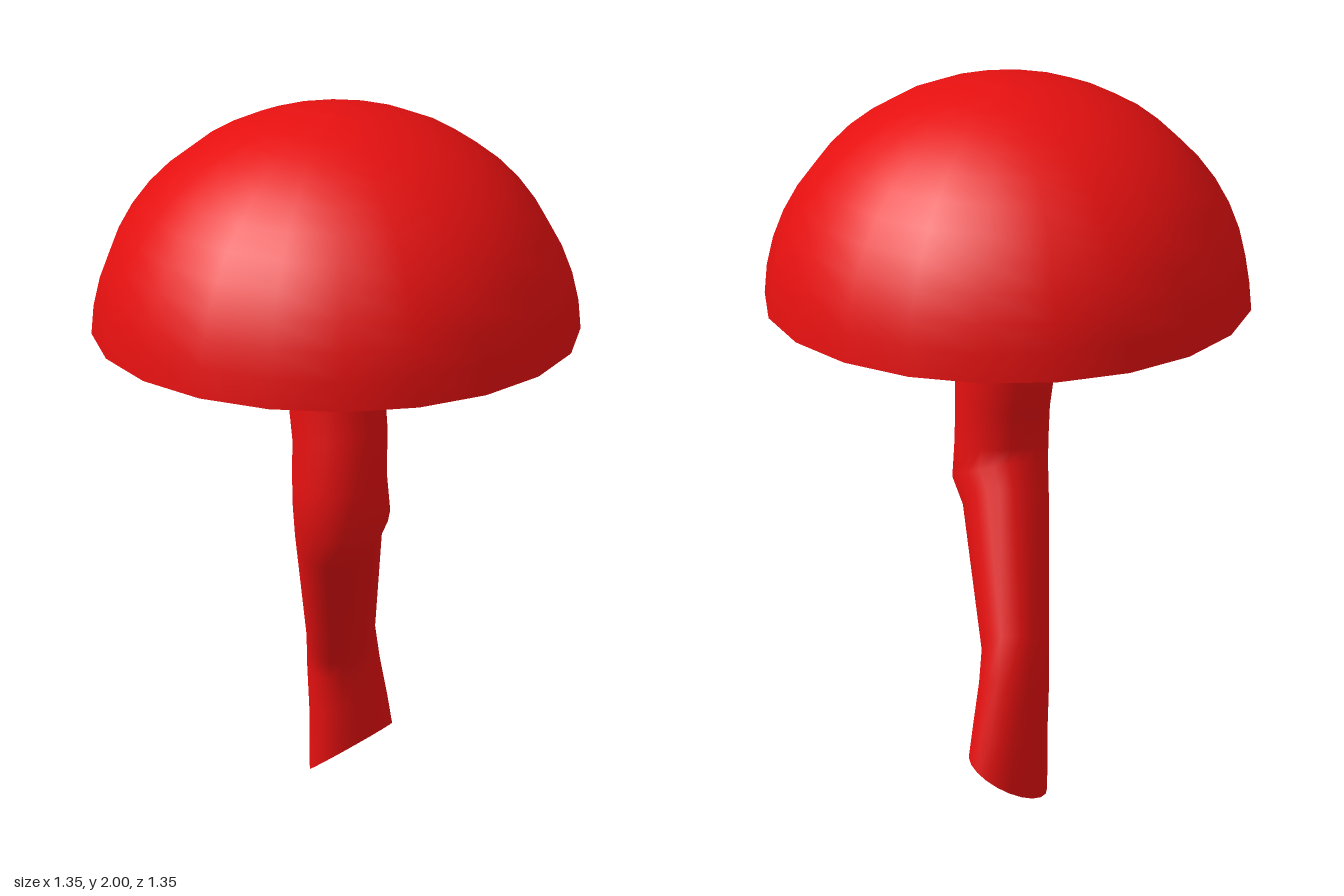
import * as THREE from 'three';

const SIDES = 20;
const CAP_BASE = 1.365, CAP_RADIUS = 0.675, CAP_HEIGHT = 0.635;

// Stem rings from top to bottom: centre x, y, z, radii in x and z, tilt (rise per x and per z)
const RINGS = [
  [0, 1.4, 0, 0.135, 0.135, 0, 0],
  [-0.004, 1.24, 0, 0.134, 0.132, 0, 0.35],
  [-0.01, 1.08, 0.03, 0.13, 0.133, 0.05, 0.2],
  [-0.02, 0.95, 0.042, 0.133, 0.128, 0.05, -0.05],
  [-0.012, 0.86, 0.04, 0.137, 0.13, 0.2, -0.4],
  [0.012, 0.78, -0.003, 0.123, 0.117, 0.45, -0.45],
  [0.13, 0.42, -0.145, 0.096, 0.092, 0.5, -0.5],
  [0.147, 0.33, -0.156, 0.105, 0.091, 0.2, -0.2],
  [0.168, 0.2, -0.16, 0.118, 0.09, 0, 0.2],
  [0.177, 0.068, -0.16, 0.127, 0.09, 0.27, 0.6],
];

function ringPoints([cx, cy, cz, rx, rz, tiltX, tiltZ]) {
  const points = [];
  for (let i = 0; i < SIDES; i++) {
    const a = (i / SIDES) * Math.PI * 2;
    const dx = Math.sin(a) * rx, dz = Math.cos(a) * rz;
    points.push(cx + dx, cy + dx * tiltX + dz * tiltZ, cz + dz);
  }
  return points;
}

function buildGeometry(positions, indices) {
  const geometry = new THREE.BufferGeometry();
  geometry.setAttribute('position', new THREE.Float32BufferAttribute(positions, 3));
  geometry.setIndex(indices);
  geometry.computeVertexNormals();
  return geometry;
}

// Smooth skin joining each ring to the next
function stemGeometry() {
  const indices = [];
  for (let r = 0; r < RINGS.length - 1; r++) {
    for (let i = 0; i < SIDES; i++) {
      const j = (i + 1) % SIDES;
      const a = r * SIDES + i, b = r * SIDES + j;
      indices.push(a, a + SIDES, b, b, a + SIDES, b + SIDES);
    }
  }
  return buildGeometry(RINGS.flatMap(ringPoints), indices);
}

// Flat slanted cut closing the foot of the stem
function footGeometry() {
  const ring = RINGS[RINGS.length - 1];
  const indices = [];
  for (let i = 0; i < SIDES; i++) indices.push(SIDES, (i + 1) % SIDES, i);
  return buildGeometry([...ringPoints(ring), ...ring.slice(0, 3)], indices);
}

export function createModel() {
  const model = new THREE.Group();
  model.name = 'mushroom';
  const red = new THREE.MeshStandardMaterial({ color: 0xe61010 });

  function add(name, geometry, parent) {
    const mesh = new THREE.Mesh(geometry, red);
    mesh.name = name;
    parent.add(mesh);
    return mesh;
  }

  // Domed cap with a flat underside
  const cap = new THREE.Group();
  cap.name = 'cap';
  cap.position.y = CAP_BASE;
  model.add(cap);
  const profile = [];
  for (let i = 0; i <= 12; i++) {
    const a = (i / 12) * Math.PI / 2;
    profile.push(new THREE.Vector2(i === 12 ? 0 : CAP_RADIUS * Math.cos(a), CAP_HEIGHT * Math.sin(a)));
  }
  add('capDome', new THREE.LatheGeometry(profile, SIDES), cap);
  add('capUnderside', new THREE.CircleGeometry(CAP_RADIUS, SIDES), cap).rotation.x = Math.PI / 2;

  // Crooked stem
  const stem = new THREE.Group();
  stem.name = 'stem';
  model.add(stem);
  add('stemSkin', stemGeometry(), stem);
  add('stemFoot', footGeometry(), stem);

  return model;
}
